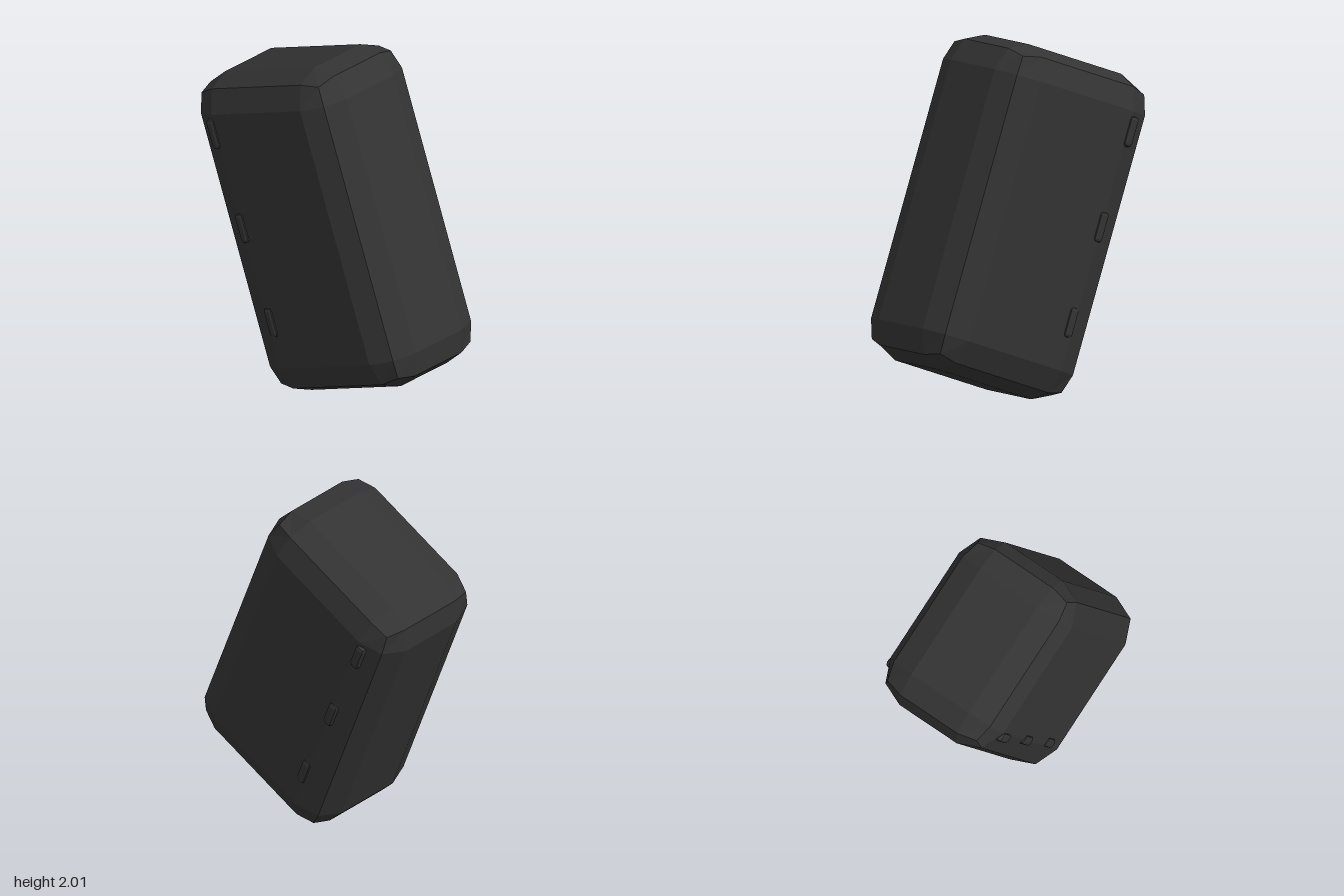
import * as THREE from 'three';
import { RoundedBoxGeometry } from 'three/addons/geometries/RoundedBoxGeometry.js';

// Box with a two-step bevel on every edge, faceted
function bevelledBox(width, height, depth, radius) {
  const geometry = new RoundedBoxGeometry(width, height, depth, 1, radius);
  geometry.computeVertexNormals();
  return geometry;
}

export function createModel() {
  const model = new THREE.Group();
  model.name = 'tiltedCase';
  const charcoal = new THREE.MeshStandardMaterial({ color: 0x333333, flatShading: true });
  charcoal.name = 'charcoal';

  // Everything leans back by 20 degrees
  const tilted = new THREE.Group();
  tilted.name = 'case';
  tilted.position.y = 1;
  tilted.rotation.x = THREE.MathUtils.degToRad(-20);
  model.add(tilted);

  const body = new THREE.Mesh(bevelledBox(0.77, 1.88, 1.08, 0.19), charcoal);
  body.name = 'body';
  tilted.add(body);

  // Three small raised studs along the rear of each side: [height, depth]
  const studGeometry = bevelledBox(0.05, 0.175, 0.062, 0.02);
  const rows = [[0.637, -0.373], [0.08, -0.349], [-0.477, -0.325]];
  for (const side of [1, -1]) {
    rows.forEach(([y, z], i) => {
      const stud = new THREE.Mesh(studGeometry, charcoal);
      stud.name = `${side > 0 ? 'left' : 'right'}Stud${i + 1}`;
      stud.position.set(side * 0.372, y, z);
      tilted.add(stud);
    });
  }
  return model;
}
